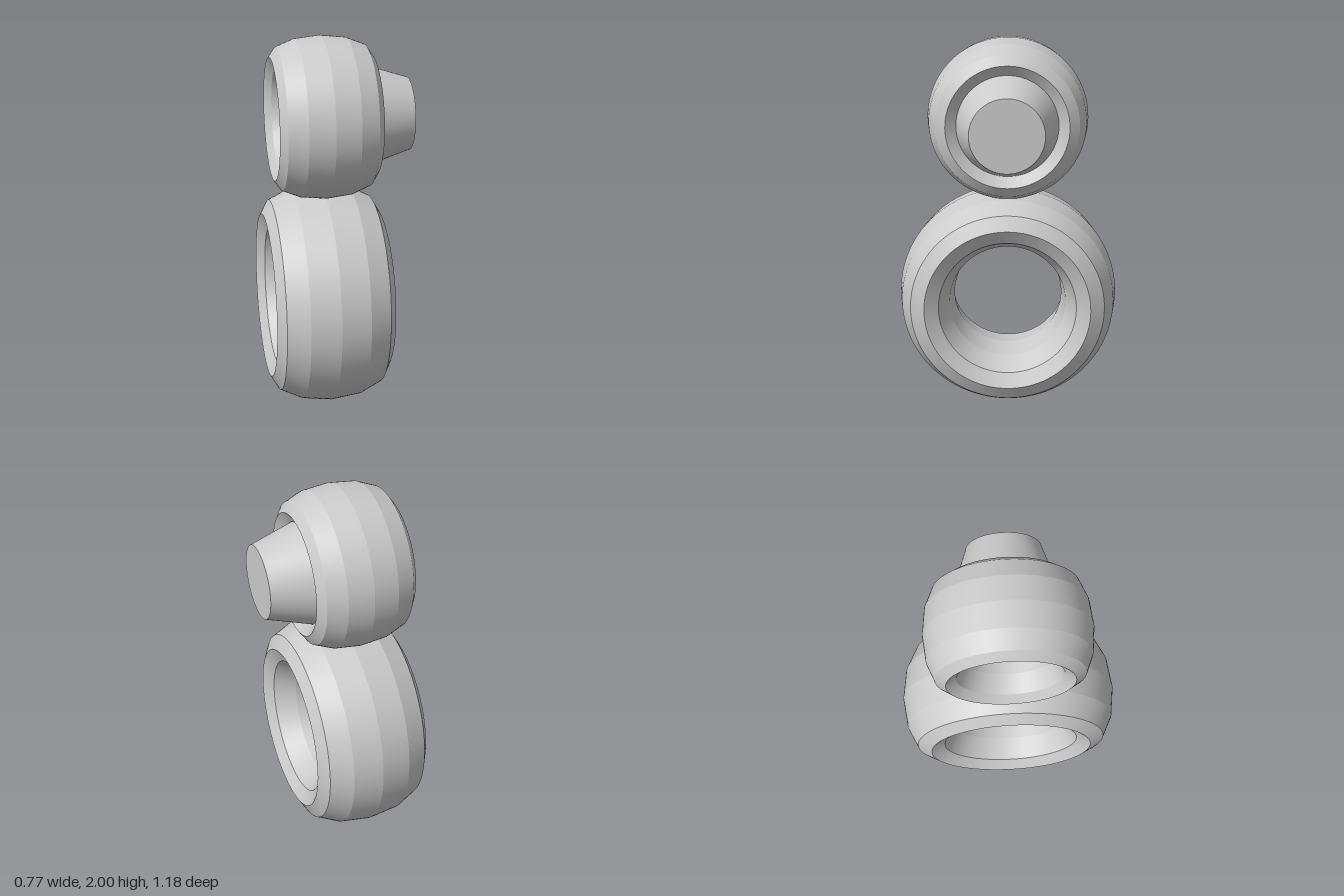
import * as THREE from 'three';
import { toCreasedNormals } from 'three/addons/utils/BufferGeometryUtils.js';

const material = new THREE.MeshStandardMaterial({ color: 0xcccccc });
const AXIS_X = -0.073;

// Smooth around the axis, creased between the bands of the profile
function addPart(group, name, geometry, x, y) {
  const mesh = new THREE.Mesh(toCreasedNormals(geometry, 0.15), material);
  mesh.name = name;
  mesh.position.set(x, y, 0);
  group.add(mesh);
}

// Twelve-sided ring around the x axis, stretched along it
function ringGeometry(radius, tube, halfWidth) {
  return new THREE.TorusGeometry(radius, tube, 12, 96)
    .scale(1, 1, halfWidth / tube)
    .rotateY(Math.PI / 2);
}

export function createModel() {
  const group = new THREE.Group();
  group.name = 'stackedRings';

  addPart(group, 'lowerRing', ringGeometry(0.442, 0.149, 0.312), AXIS_X, 0.591);
  addPart(group, 'upperRing', ringGeometry(0.32, 0.106, 0.266), AXIS_X, 1.574);

  // Tapered plug set into the right-hand side of the upper ring
  const plugLength = 0.385;
  const plug = new THREE.CylinderGeometry(0.192, 0.313, plugLength, 96).rotateZ(-Math.PI / 2);
  addPart(group, 'plug', plug, plugLength / 2, 1.574);

  return group;
}
